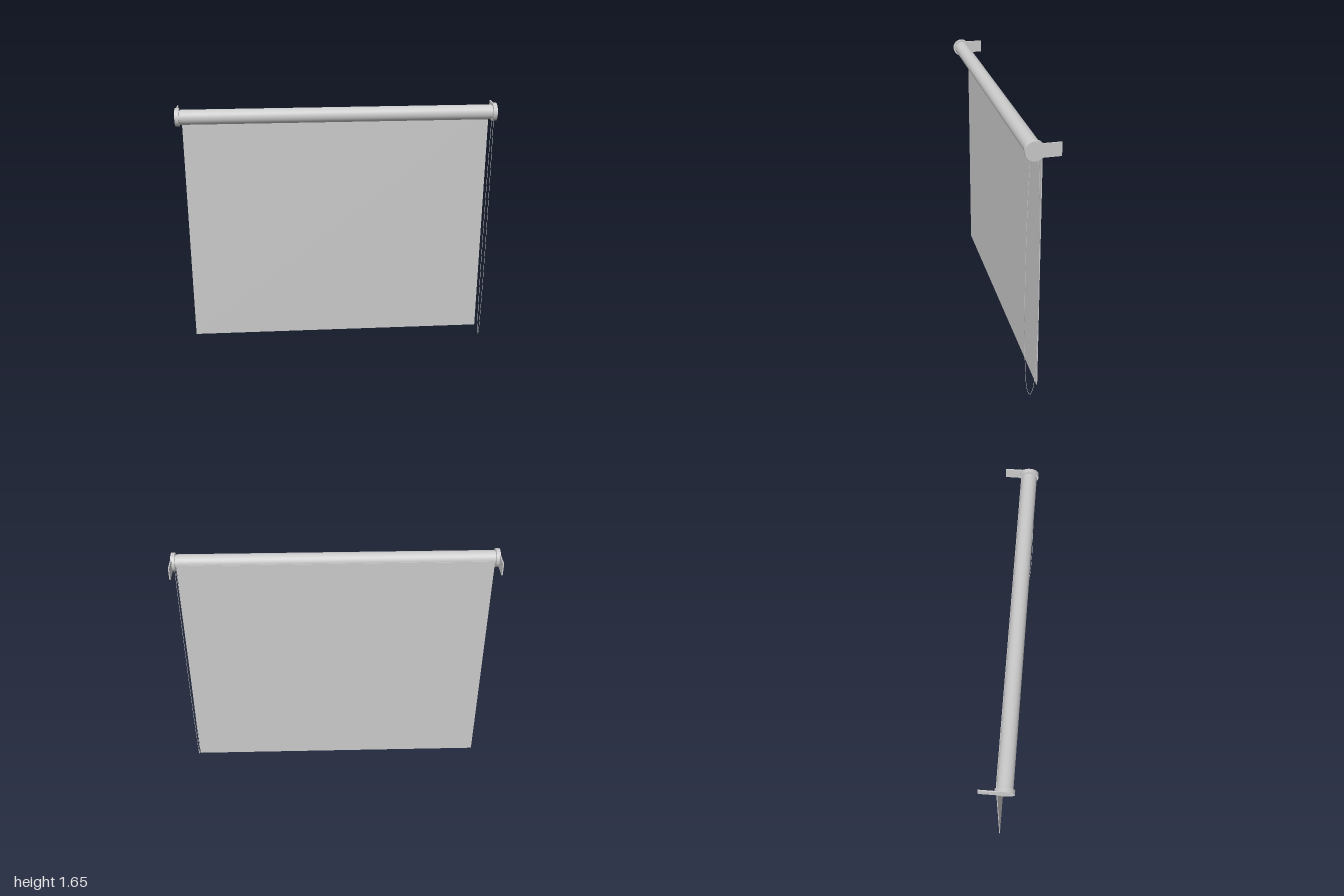
import * as THREE from 'three';

const AXIS_Y = 1.593, AXIS_Z = 0.045;

export function createModel() {
  const model = new THREE.Group();
  const grey = new THREE.MeshStandardMaterial({ color: 0xcccccc });
  const add = (name, geometry, parent = model) => {
    const mesh = new THREE.Mesh(geometry, grey);
    mesh.name = name;
    parent.add(mesh);
    return mesh;
  };

  // Rolled fabric: a long cylinder with softly stepped ends
  const roll = add('roller', new THREE.CylinderGeometry(0.0465, 0.0465, 1.934, 64));
  roll.rotation.z = Math.PI / 2;
  roll.position.set(0, AXIS_Y, AXIS_Z);
  const core = add('rollerCore', new THREE.CylinderGeometry(0.042, 0.042, 1.96, 48));
  core.rotation.z = Math.PI / 2;
  core.position.copy(roll.position);

  // Hanging sheet, tangent to the back of the roll
  const bottom = 0.055;
  const sheet = add('shade', new THREE.BoxGeometry(1.934, AXIS_Y - bottom, 0.005));
  sheet.position.set(0, (AXIS_Y + bottom) / 2, -0.002);

  // Keyhole-shaped bracket outline: round end, small fillets and a wall tab
  const r = 0.0565, h = 0.04, a = Math.asin(0.044 / r);
  const plate = new THREE.Shape();
  plate.absarc(0, 0, r, -Math.PI + a, Math.PI - a, false);
  plate.quadraticCurveTo(-r * Math.cos(a) - 0.004, h, -0.052, h);
  plate.lineTo(-AXIS_Z - 0.1, h);
  plate.lineTo(-AXIS_Z - 0.1, -h);
  plate.lineTo(-0.052, -h);
  plate.quadraticCurveTo(-r * Math.cos(a) - 0.004, -h, -r * Math.cos(a), -0.044);

  // One bracket and end cap on each side
  const depth = 0.007;
  for (const side of [-1, 1]) {
    const end = new THREE.Group();
    end.name = side > 0 ? 'leftEnd' : 'rightEnd';
    const bracket = add('bracket', new THREE.ExtrudeGeometry(plate, { depth, bevelEnabled: false, curveSegments: 48 }), end);
    bracket.rotation.y = -Math.PI / 2;
    bracket.position.set(side > 0 ? 1 : -1 + depth, AXIS_Y, AXIS_Z);
    const cap = add('endCap', new THREE.CylinderGeometry(r, r, 0.02, 64), end);
    cap.rotation.z = Math.PI / 2;
    cap.position.set(side * 0.985, AXIS_Y, AXIS_Z);
    model.add(end);
  }

  // Pull cord: a long narrow loop hanging from the left end cap
  const half = [[0.018, 1.6], [0.024, 1.52], [0.035, 1.2], [0.04, 0.8], [0.04, 0.5], [0.031, 0.2], [0.018, 0.045]];
  const point = (z, y) => new THREE.Vector3(0.984, y, AXIS_Z + z);
  const loop = new THREE.CatmullRomCurve3([
    ...half.map(([z, y]) => point(z, y)),
    point(0, 0.0015),
    ...half.slice().reverse().map(([z, y]) => point(-z, y)),
  ], true);
  add('pullCord', new THREE.TubeGeometry(loop, 200, 0.0014, 8, true));

  return model;
}
